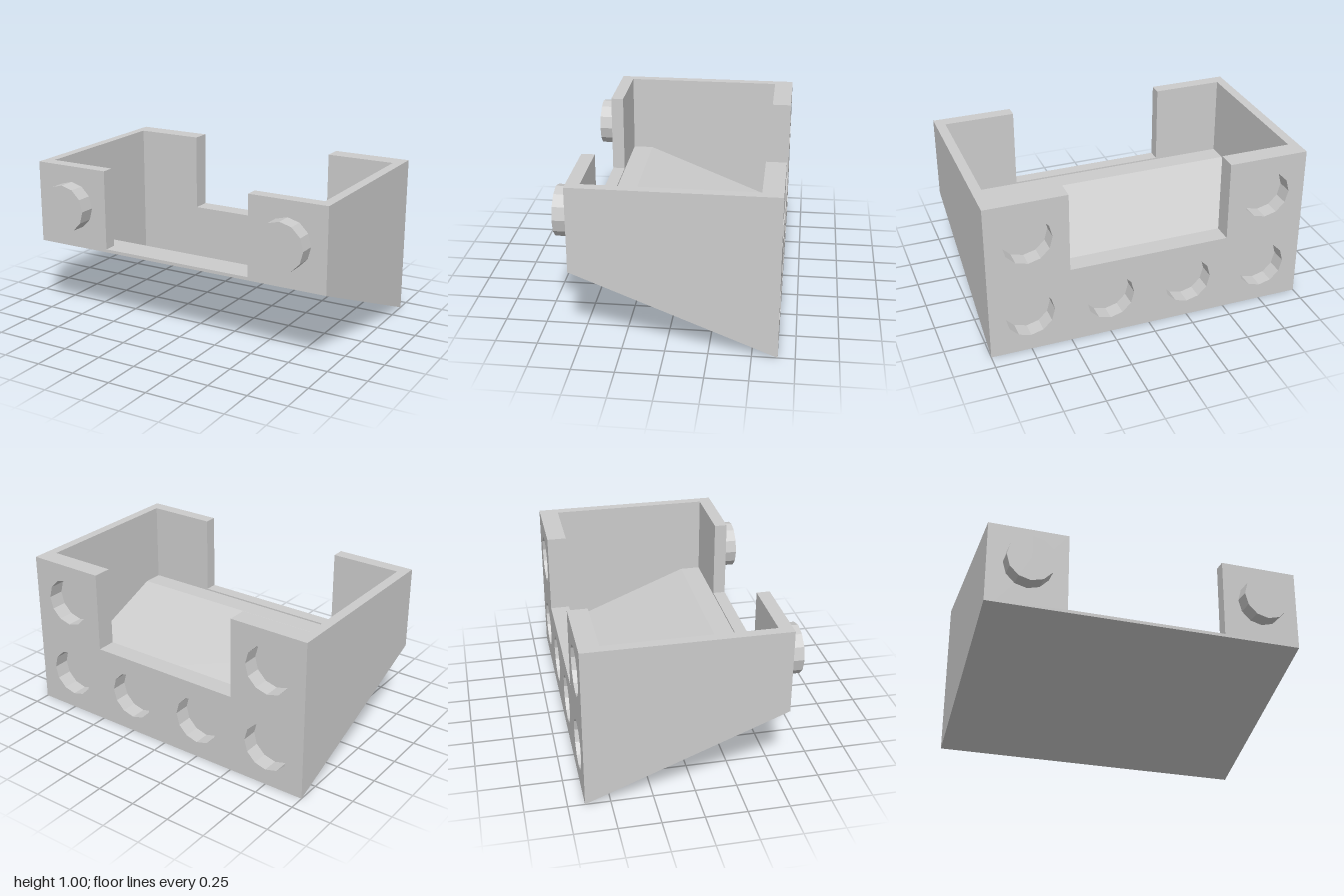
import * as THREE from 'three';

const BACK = -0.65, FRONT = 0.55;      // outer z limits
const INNER_BACK = -0.53, INNER_FRONT = 0.47;
const INNER_X = 0.94, R = 0.15, SIDES = 12;

// Height of the sloping underside at depth z
const underside = z => 0.4 * (z - BACK);

const shapeOf = pts => new THREE.Shape(pts.map(p => new THREE.Vector2(...p)));

// Extrude a (z, y) profile along x from x0 to x1
function acrossX(profile, x0, x1) {
  const g = new THREE.ExtrudeGeometry(shapeOf(profile), { depth: x1 - x0, bevelEnabled: false });
  return g.rotateY(-Math.PI / 2).translate(x1, 0, 0);
}

// U-shaped wall between z0 and z1, its lower edge cut to the underside slope
function notchedWall(z0, z1, holes = []) {
  const shape = shapeOf([
    [-INNER_X, 0], [INNER_X, 0], [INNER_X, 1], [0.5, 1],
    [0.5, 0.5], [-0.5, 0.5], [-0.5, 1], [-INNER_X, 1],
  ]);
  for (const [x, y] of holes) {
    const ring = [];
    for (let i = 0; i < SIDES; i++) {
      const a = -i / SIDES * Math.PI * 2;
      ring.push(new THREE.Vector2(x + R * Math.cos(a), y + R * Math.sin(a)));
    }
    shape.holes.push(new THREE.Path(ring));
  }
  const g = new THREE.ExtrudeGeometry(shape, { depth: z1 - z0, bevelEnabled: false });
  g.translate(0, 0, z0);
  const p = g.attributes.position;
  for (let i = 0; i < p.count; i++) {
    if (p.getY(i) < 0.001) p.setY(i, underside(p.getZ(i)));
  }
  g.computeVertexNormals();
  return g;
}

export function createModel() {
  const model = new THREE.Group();
  model.name = 'slopedTray';
  const material = new THREE.MeshStandardMaterial({ color: 0xcccccc, flatShading: true });
  const add = (name, geometry) => {
    const mesh = new THREE.Mesh(geometry, material);
    mesh.name = name;
    model.add(mesh);
  };

  // Side walls
  const side = [[BACK, 0], [FRONT, underside(FRONT)], [FRONT, 1], [BACK, 1]];
  add('leftWall', acrossX(side, INNER_X, 1));
  add('rightWall', acrossX(side, -1, -INNER_X));

  // Sloping floor with a flat ledge behind the front wall
  add('floor', acrossX([
    [INNER_BACK, underside(INNER_BACK)], [INNER_FRONT, underside(INNER_FRONT)],
    [INNER_FRONT, 0.49], [0.34, 0.49], [INNER_BACK, 0.14],
  ], -INNER_X, INNER_X));

  // Front wall, and back wall with blind sockets
  add('frontWall', notchedWall(INNER_FRONT, FRONT));
  const sockets = [-0.75, -0.25, 0.25, 0.75].map(x => [x, 0.25]);
  sockets.push([-0.75, 0.75], [0.75, 0.75]);
  add('backWallSockets', notchedWall(BACK, BACK + 0.1, sockets));
  add('backWallInner', notchedWall(BACK + 0.1, INNER_BACK));

  // Round studs on the front
  for (const [name, x] of [['leftStud', 0.75], ['rightStud', -0.75]]) {
    const stud = new THREE.CylinderGeometry(R, R, 0.1, SIDES);
    add(name, stud.rotateX(Math.PI / 2).translate(x, 0.75, FRONT + 0.05));
  }
  return model;
}
